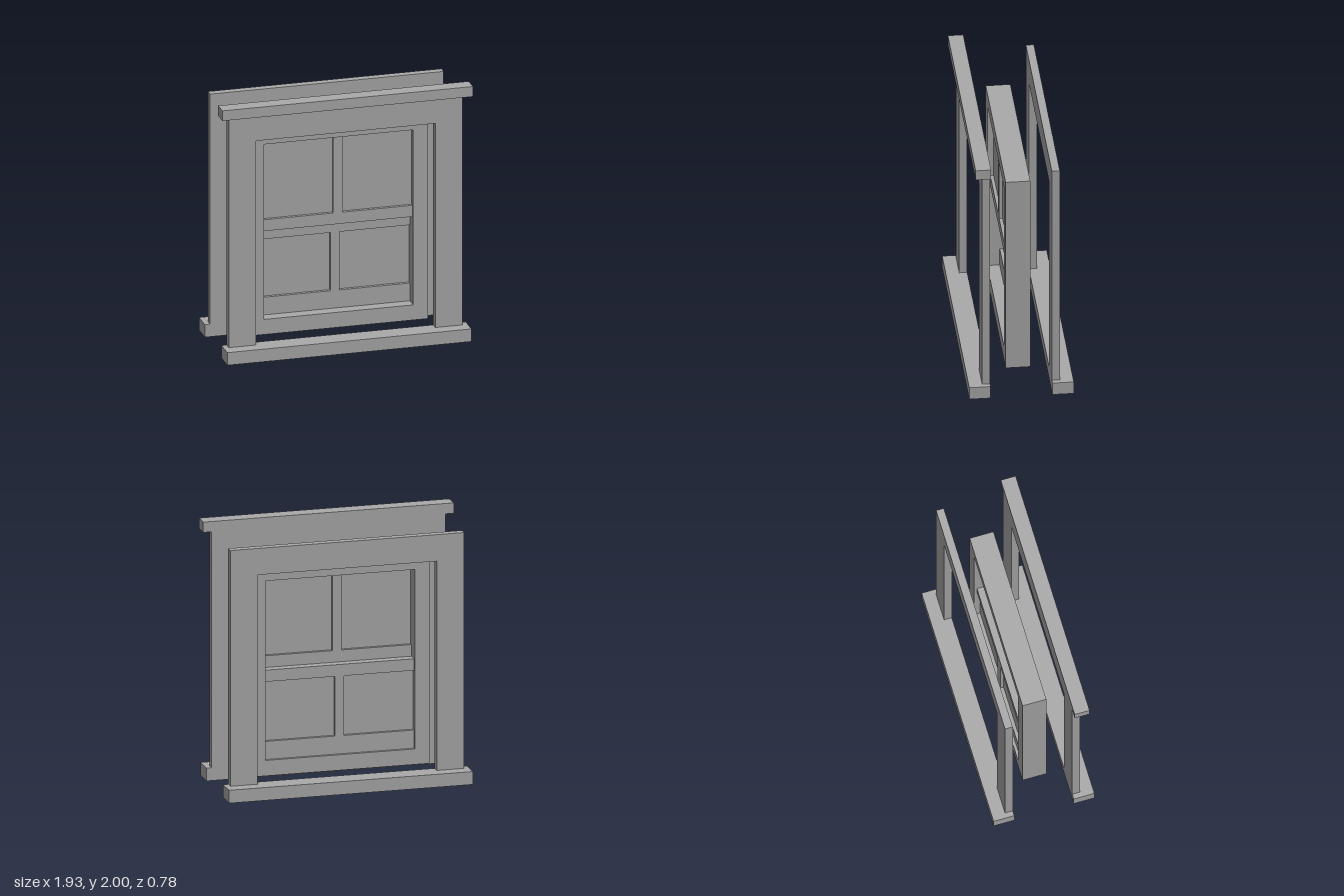
import * as THREE from 'three';

const grey = new THREE.MeshStandardMaterial({ color: 0xaaaaaa });
grey.name = 'plain grey';

// Box given by its two extents on each axis
function block(name, [x0, x1], [y0, y1], [z0, z1]) {
  const mesh = new THREE.Mesh(new THREE.BoxGeometry(x1 - x0, y1 - y0, z1 - z0), grey);
  mesh.name = name;
  mesh.position.set((x0 + x1) / 2, (y0 + y1) / 2, (z0 + z1) / 2);
  return mesh;
}

function rectangle(path, w, y0, y1) {
  path.moveTo(-w, y0);
  path.lineTo(w, y0);
  path.lineTo(w, y1);
  path.lineTo(-w, y1);
  path.closePath();
  return path;
}

function extrude(name, shape, z0, z1) {
  const geometry = new THREE.ExtrudeGeometry(shape, { depth: z1 - z0, bevelEnabled: false });
  const mesh = new THREE.Mesh(geometry, grey);
  mesh.name = name;
  mesh.position.z = z0;
  return mesh;
}

// Flat casing: two legs and a head around the opening, above a sill
function casing(name) {
  const group = new THREE.Group();
  group.name = name;
  const shape = new THREE.Shape();
  [[-0.9, 0.1], [-0.69, 0.1], [-0.69, 1.715], [0.69, 1.715], [0.69, 0.1], [0.9, 0.1], [0.9, 1.92], [-0.9, 1.92]]
    .forEach(([x, y], i) => (i ? shape.lineTo(x, y) : shape.moveTo(x, y)));
  shape.closePath();
  group.add(extrude('casingBoard', shape, 0.23, 0.29));
  group.add(block('sill', [-0.94, 0.94], [0, 0.1], [0.23, 0.39]));
  return group;
}

// Sash: horizontal rails, a central glazing bar and two panes
function sash(name, z, y0, y1, rails, bar) {
  const group = new THREE.Group();
  group.name = name;
  const depth = [z - 0.035, z + 0.035];
  rails.forEach((rail) => group.add(block('rail', [-0.575, 0.575], rail, depth)));
  group.add(block('glazingBar', [-0.035, 0.035], bar, depth));
  for (const side of [-1, 1]) {
    const xs = side < 0 ? [-0.575, -0.035] : [0.035, 0.575];
    group.add(block('pane', xs, bar, [z - 0.01, z + 0.01]));
  }
  return group;
}

export function createModel() {
  const model = new THREE.Group();
  model.name = 'sashWindow';

  // Front casing with a cap, and the plain back casing
  const front = casing('frontCasing');
  front.add(block('cap', [-0.965, 0.965], [1.92, 2], [0.23, 0.345]));
  const back = casing('backCasing');
  back.rotation.y = Math.PI;
  model.add(front, back);

  // Deep window frame
  const frame = rectangle(new THREE.Shape(), 0.69, 0.1, 1.715);
  frame.holes.push(rectangle(new THREE.Path(), 0.575, 0.22, 1.605));
  model.add(extrude('windowFrame', frame, -0.092, 0.092));

  // Upper sash sits forward, lower sash behind
  model.add(sash('upperSash', 0.035, 0.91, 1.605, [[0.91, 1.0]], [1.0, 1.605]));
  model.add(sash('lowerSash', -0.035, 0.22, 0.91, [[0.22, 0.36], [0.82, 0.91]], [0.36, 0.82]));
  return model;
}
